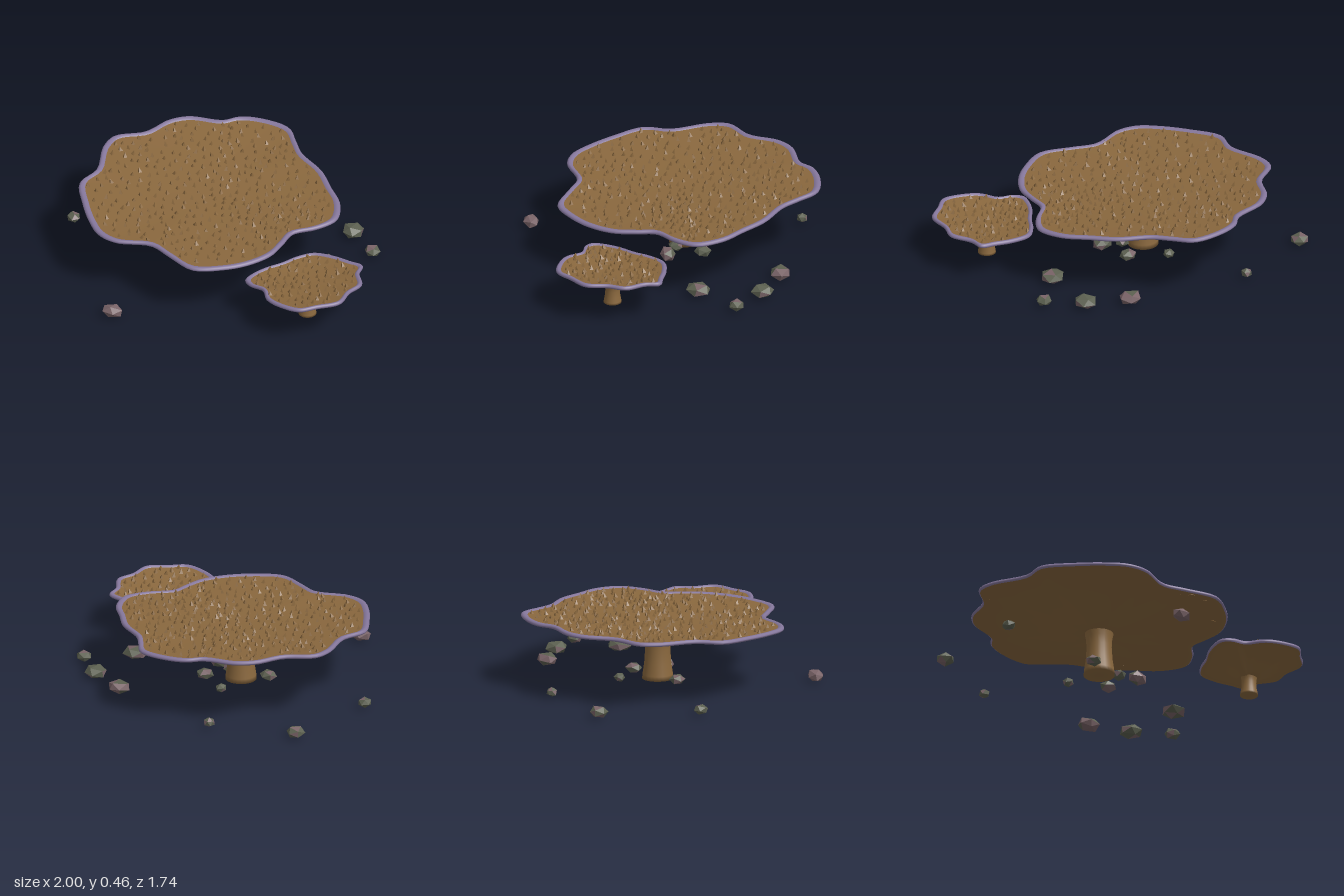
import * as THREE from 'three';
import { mergeGeometries } from 'three/addons/utils/BufferGeometryUtils.js';

const mat = (name, color, extra = {}) => {
  const m = new THREE.MeshStandardMaterial({ color, ...extra });
  m.name = name;
  return m;
};

// Small seeded generator
const seeded = (s) => () => ((s = (s * 16807) % 2147483647) / 2147483647);

// Wavy plate outlines as x, z pairs
const LARGE = [
  .715, -.05, .68, -.19, .59, -.32, .49, -.465, .33, -.6, .26, -.71, .18, -.83, 0, -.87,
  -.13, -.85, -.22, -.785, -.42, -.765, -.53, -.695, -.635, -.535, -.8, -.44, -.835, -.32,
  -.81, -.08, -.87, .08, -.8, .27, -.715, .43, -.62, .55, -.5, .595, -.29, .565, -.155, .64,
  .02, .73, .19, .675, .325, .585, .43, .455, .47, .32, .5, .2, .62, .11, .7, .016];
const SMALL = [
  1, .455, .95, .33, .945, .24, .86, .21, .755, .175, .62, .165, .53, .23, .46, .32, .38, .4,
  .32, .49, .3, .56, .34, .61, .43, .645, .49, .75, .59, .81, .715, .835, .81, .775, .93, .695, .955, .56];

function makeCoral(name, o, brown, purple) {
  const group = new THREE.Group();
  group.name = name;
  const [cx, cz] = o.center;
  const pts = [];
  for (let i = 0; i < o.outline.length; i += 2) pts.push(new THREE.Vector3(o.outline[i], 0, o.outline[i + 1]));
  const curve = new THREE.CatmullRomCurve3(pts, true);
  const N = 128;
  const edge = curve.getPoints(N).slice(0, N);
  const rimY = (x, z) => o.rim + o.tiltX * (x - cx) + o.tiltZ * (z - cz);

  // Point on the plate: t = share of the way to the edge, h = stem top (0) to rim (1)
  const at = (p, [t, h, dy]) => {
    const x = cx + (p.x - cx) * t, z = cz + (p.z - cz) * t;
    // the underside aims at the height of the rim straight outwards
    const y = h < 1 ? THREE.MathUtils.lerp(o.stemTop, rimY(p.x, p.z), h) : rimY(x, z);
    return [x, y + dy, z];
  };

  // Surface lofted through scaled copies of the outline
  const loft = (label, profile, material) => {
    const pos = [], idx = [];
    profile.forEach((row) => edge.forEach((p) => pos.push(...at(p, row))));
    for (let j = 0; j < profile.length - 1; j++) {
      for (let i = 0; i < N; i++) {
        const k = (i + 1) % N, a = j * N + i, b = j * N + k, c = b + N, d = a + N;
        idx.push(a, b, c, a, c, d);
      }
    }
    const g = new THREE.BufferGeometry();
    g.setAttribute('position', new THREE.Float32BufferAttribute(pos, 3));
    g.setIndex(idx);
    g.computeVertexNormals();
    const m = new THREE.Mesh(g, material);
    m.name = label;
    group.add(m);
  };

  const b = o.band, tIn = 1 - b;
  const topDy = (t) => -.006 - o.dish * (1 - (t / tIn) ** 2);
  loft('underside', [[.02, 0, 0], [.14, .03, 0], [.25, .16, 0], [.4, .36, 0], [.6, .59, 0],
    [.8, .77, 0], [.93, .87, 0], [1 - b * .25, 1, -.022]], brown);
  loft('rim', [[1 - b * .25, 1, -.022], [1 - b * .05, 1, -.016], [1, 1, -.009], [1 - b * .15, 1, -.001],
    [1 - b * .4, 1, .003], [1 - b * .75, 1, .001], [tIn, 1, -.006]], purple);
  loft('topSurface', [1, .85, .65, .45, .25, .001].map((s) => [tIn * s, 1, topDy(tIn * s)]), brown);

  // Stem with flared foot and head
  const r = o.stemRadius, h = o.stemTop + .015 - .02;
  const stem = new THREE.Mesh(new THREE.LatheGeometry(
    [[0, 0], [1.18, 0], [1.15, .1], [1.02, .35], [.95, .65], [1, .85], [1.12, 1]]
      .map(([x, y]) => new THREE.Vector2(x * r, y * h)), 24), brown);
  stem.name = 'stem';
  stem.position.set(cx, .02, cz);
  group.add(stem);

  // Little pointed polyps scattered over the top
  const rnd = seeded(o.seed), polyps = [];
  for (let k = 0; k < o.polyps; k++) {
    const t = tIn * .98 * Math.sqrt((k + .3 + rnd() * .5) / o.polyps);
    const p = curve.getPoint((k * .618034 + rnd() * .012) % 1);
    const [x, y, z] = at(p, [t, 1, topDy(t)]);
    const s = .85 + rnd() * .35;
    polyps.push(new THREE.ConeGeometry(.016 * s, .032 * s, 4).toNonIndexed()
      .rotateY(rnd() * 6.28).rotateX((rnd() - .5) * .5).rotateZ((rnd() - .5) * .5)
      .translate(x, y + .01, z));
  }
  const g = mergeGeometries(polyps);
  g.computeVertexNormals();
  const m = new THREE.Mesh(g, brown);
  m.name = 'polyps';
  group.add(m);
  return group;
}

// x, z, radius x, radius z, share of mauve faces
const ROCKS = [
  [-.795, -.695, .06, .057, .3], [-.265, -.8, .035, .034, .1], [.465, -.56, .073, .068, .8],
  [.7, -.415, .068, .07, .35], [.87, -.235, .05, .05, .15], [-.957, -.1, .043, .043, .1],
  [-.455, .82, .07, .048, 1], [.62, -.04, .08, .078, .3], [.11, .07, .07, .048, .6],
  [.1, -.14, .055, .05, .4], [.01, .01, .045, .045, .2], [-.25, .01, .052, .045, .2], [-.09, -.3, .035, .035, .2]];

function makeRocks(materials) {
  const group = new THREE.Group();
  group.name = 'rocks';
  const rnd = seeded(77);
  ROCKS.forEach(([x, z, rx, rz, mauve]) => {
    const g = new THREE.IcosahedronGeometry(1, 0);
    const p = g.attributes.position, v = new THREE.Vector3();
    g.rotateX(rnd() * 3).rotateY(rnd() * 6);
    // Uneven corners by a rule shared by coincident vertices
    for (let i = 0; i < p.count; i++) {
      v.fromBufferAttribute(p, i);
      v.multiplyScalar(1 + .1 * Math.sin(5 * v.x + 9 * z) * Math.cos(4 * v.z + 7 * x));
      p.setXYZ(i, v.x, v.y, v.z);
    }
    const ry = .02 + rx * .27;
    g.scale(rx * 1.03, ry, rz * 1.03);
    g.computeVertexNormals();
    g.clearGroups();
    for (let i = 0; i < p.count; i += 3) g.addGroup(i, 3, rnd() < mauve ? 1 : 0);
    const rock = new THREE.Mesh(g, materials);
    rock.name = 'rock';
    rock.position.set(x, .043, z);
    group.add(rock);
  });
  return group;
}

export function createModel() {
  const model = new THREE.Group();
  model.name = 'tableCorals';
  const brown = mat('coral brown', 0x8a683e);
  const purple = mat('rim purple', 0x85779c);
  const stones = [mat('stone green', 0x5c6050, { flatShading: true }), mat('stone mauve', 0x7a6468, { flatShading: true })];

  model.add(makeCoral('largeCoral', {
    outline: LARGE, center: [-.1, -.06], rim: .41, tiltX: -.028, tiltZ: -.04, stemTop: .29,
    stemRadius: .08, band: .05, dish: .025, polyps: 430, seed: 11,
  }, brown, purple));
  model.add(makeCoral('smallCoral', {
    outline: SMALL, center: [.67, .49], rim: .255, tiltX: .04, tiltZ: .035, stemTop: .13,
    stemRadius: .046, band: .09, dish: .02, polyps: 105, seed: 23,
  }, brown, purple));
  model.add(makeRocks(stones));
  return model;
}
